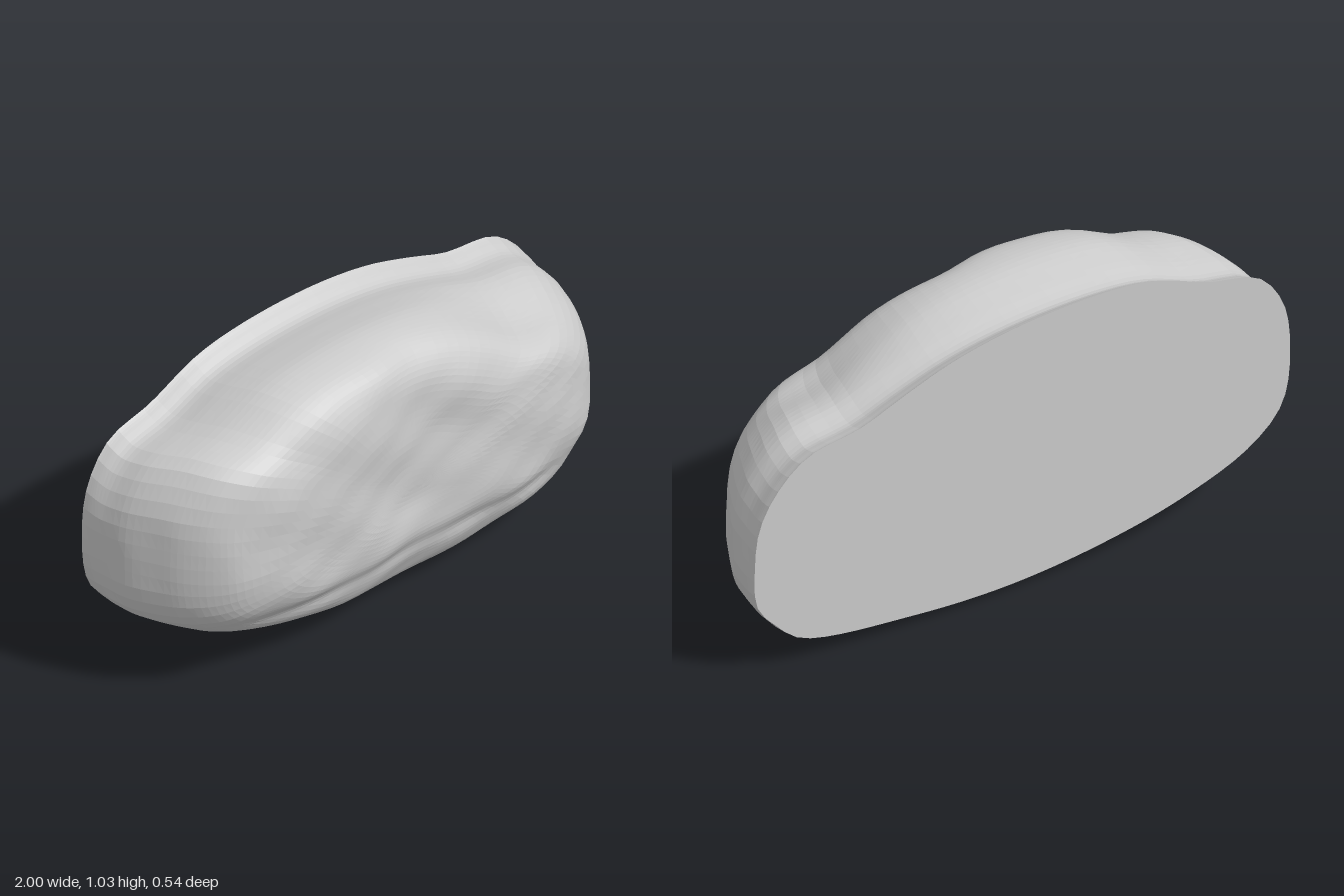
import * as THREE from 'three';

const SEGMENTS = 88, RINGS = 48, MID_Y = 0.5;

// Outline of the flat back, counter-clockwise seen from the front
const OUTLINE = [
  [1, 0.45], [0.98, 0.6], [0.91, 0.72], [0.8, 0.81], [0.6, 0.85], [0.45, 0.91],
  [0.25, 0.98], [0, 1.025], [-0.3, 1.035], [-0.5, 1.01], [-0.7, 0.93], [-0.88, 0.88],
  [-0.97, 0.76], [-1, 0.6], [-0.97, 0.35], [-0.85, 0.22], [-0.6, 0.11], [-0.3, 0.04],
  [0.05, 0.005], [0.4, 0.02], [0.82, 0.09], [0.92, 0.18], [0.99, 0.28],
];

// Cross-sections from back to front: z, then scale of width, upper half, lower half
const SECTIONS = [
  [-0.27, 1, 1, 0.94], [-0.24, 1, 0.96, 0.96], [-0.19, 0.995, 0.92, 0.995],
  [-0.1, 0.98, 0.96, 1], [0, 0.935, 1, 0.98], [0.08, 0.89, 0.995, 0.91],
  [0.15, 0.83, 0.96, 0.8], [0.2, 0.75, 0.89, 0.64], [0.232, 0.62, 0.76, 0.51],
  [0.244, 0.46, 0.56, 0.38], [0.245, 0.3, 0.36, 0.25], [0.24, 0.14, 0.17, 0.12], [0.24, 0, 0, 0],
];

const gauss = (d, w) => Math.exp(-(d * d) / (w * w));

// Weathering: shallow lumps, a ledge and hollows
function weather(p) {
  const { x, y, z } = p;
  const front = THREE.MathUtils.smoothstep(z, 0.02, 0.2);
  const inner = THREE.MathUtils.smoothstep(z, -0.27, -0.15);
  const lump = Math.sin(x * 11 + y * 6) * Math.sin(y * 13 - z * 9 + x * 4)
    + 0.4 * Math.sin(x * 21 - y * 15) * Math.sin(z * 19 + y * 23);
  const ledge = gauss(y - 0.25, 0.04) * (1 - THREE.MathUtils.smoothstep(x, 0.5, 0.8));
  p.z += front * (0.006 * lump
    + 0.02 * gauss(x - 0.5, 0.3)                     // swelling on the left of the face
    - 0.025 * gauss(x - 0.02, 0.16)                  // central hollow
    - 0.015 * gauss(x - 0.25, 0.15) * gauss(y - 0.66, 0.1)
    - 0.016 * ledge);                                // horizontal ledge
  const pinch = 1 - inner * (0.004 * lump + 0.003 + 0.01 * gauss(y - 0.23, 0.04) * (1 - front));
  p.x *= pinch;
  // Front crest drops towards the left end
  p.y -= 0.06 * THREE.MathUtils.smoothstep(z, -0.12, 0.12)
    * THREE.MathUtils.smoothstep(y, 0.5, 0.85) * gauss(x - 0.65, 0.28);
  return p;
}

function rockGeometry() {
  const outline = new THREE.CatmullRomCurve3(
    OUTLINE.map(([x, y]) => new THREE.Vector3(x, y, 0)), true).getSpacedPoints(SEGMENTS);
  const depths = new THREE.SplineCurve(SECTIONS.map((s, i) => new THREE.Vector2(i, s[0])));
  const scales = new THREE.CatmullRomCurve3(
    SECTIONS.map((s) => new THREE.Vector3(s[1], s[2], s[3])), false, 'catmullrom');
  const positions = [], index = [];

  for (let j = 0; j <= RINGS; j++) {
    const z = depths.getPoint(j / RINGS).y;
    const s = scales.getPoint(j / RINGS);
    for (let i = 0; i < SEGMENTS; i++) {
      const o = outline[i], dy = o.y - MID_Y;
      const p = new THREE.Vector3(o.x * s.x, MID_Y + dy * (dy > 0 ? s.y : s.z), z);
      if (j > 0) weather(p);
      positions.push(p.x, p.y, p.z);
    }
  }
  for (let j = 0; j < RINGS; j++) {
    for (let i = 0; i < SEGMENTS; i++) {
      const k = (i + 1) % SEGMENTS;
      const a = j * SEGMENTS + i, b = j * SEGMENTS + k;
      index.push(a, b, b + SEGMENTS, a, b + SEGMENTS, a + SEGMENTS);
    }
  }
  // Flat back
  const centre = positions.length / 3;
  positions.push(0, MID_Y, SECTIONS[0][0]);
  for (let i = 0; i < SEGMENTS; i++) index.push(centre, (i + 1) % SEGMENTS, i);

  const geometry = new THREE.BufferGeometry();
  geometry.setAttribute('position', new THREE.Float32BufferAttribute(positions, 3));
  geometry.setIndex(index);
  geometry.computeVertexNormals();
  return geometry;
}

export function createModel() {
  const group = new THREE.Group();
  group.name = 'rock';
  const stone = new THREE.Mesh(rockGeometry(),
    new THREE.MeshStandardMaterial({ color: 0xcccccc, flatShading: true }));
  stone.name = 'stone';
  group.add(stone);
  return group;
}
